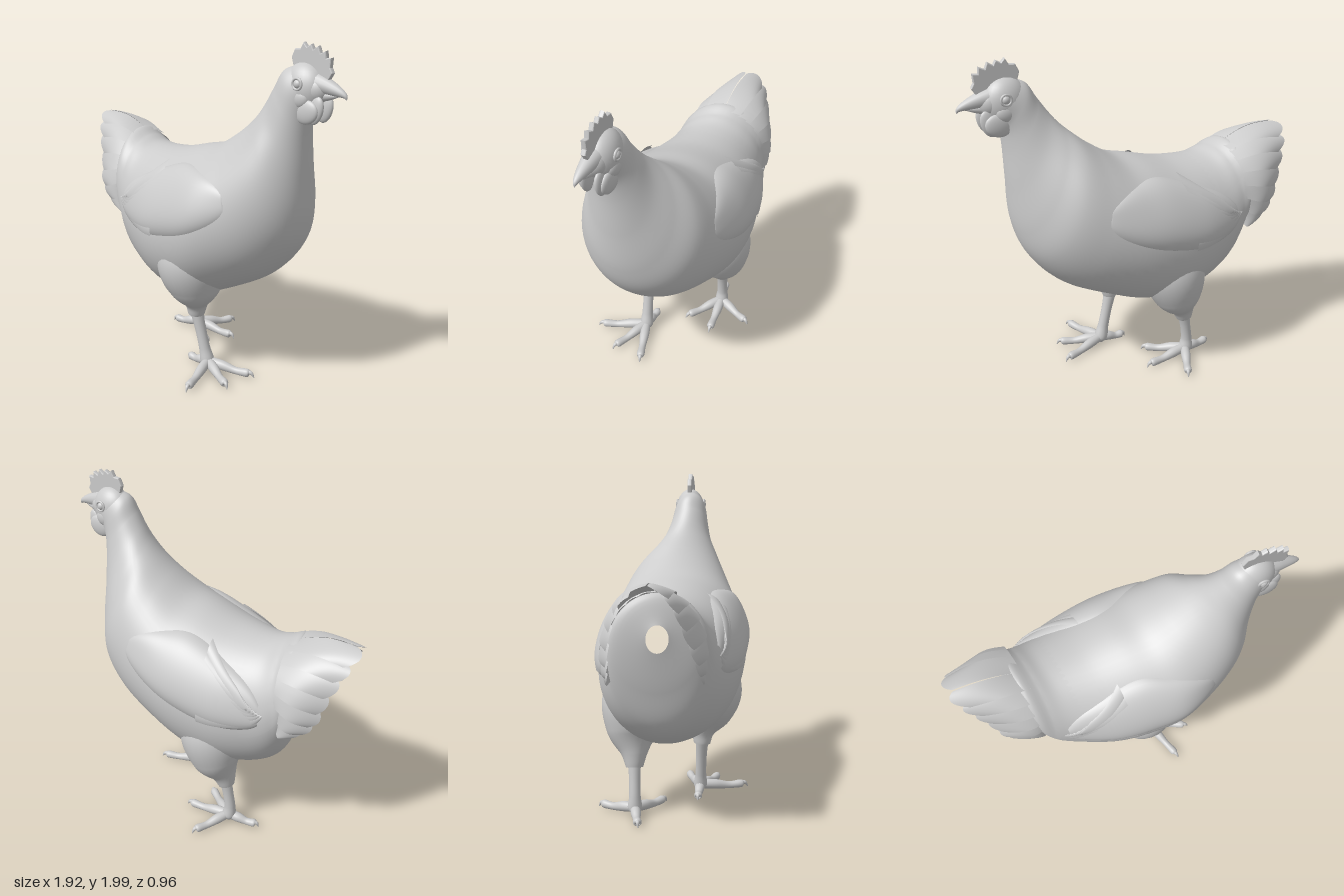
import * as THREE from 'three';
import { ParametricGeometry } from 'three/addons/geometries/ParametricGeometry.js';

const V = (x, y, z) => new THREE.Vector3(x, y, z);
const smooth = new THREE.MeshStandardMaterial({ color: 0xcccccc });
const thin = new THREE.MeshStandardMaterial({ color: 0xcccccc, side: THREE.DoubleSide });
const curve = (pts) => new THREE.CatmullRomCurve3(pts, false, 'catmullrom', 0.5);
const lerp = THREE.MathUtils.lerp;

function add(parent, name, geometry, material = smooth) {
  const mesh = new THREE.Mesh(geometry, material);
  mesh.name = name;
  parent.add(mesh);
  return mesh;
}

const surface = (f, nu, nv) => new ParametricGeometry((u, v, t) => t.copy(f(u, v)), nu, nv);

// Tapered round limb along a smooth path
function limb(points, radii, ref = V(0, 1, 0), sides = 16) {
  const path = curve(points.map((p) => V(...p)));
  const size = curve(radii.map((r) => V(r, 0, 0)));
  return surface((u, v) => {
    const T = path.getTangent(u);
    const S = ref.clone().cross(T).normalize();
    const N = T.clone().cross(S);
    const r = Math.max(size.getPoint(u).x, 0.001), a = v * Math.PI * 2;
    return path.getPoint(u).addScaledVector(N, r * Math.cos(a)).addScaledVector(S, r * Math.sin(a));
  }, 28, sides);
}

// Body sections from rump to head: back x, y, belly x, y, centre z, half width
const SECTIONS = [
  [-0.65, 1.20, -0.64, 1.05, -0.15, 0.06],
  [-0.60, 1.355, -0.605, 0.83, -0.15, 0.24],
  [-0.50, 1.325, -0.55, 0.63, -0.125, 0.29],
  [-0.40, 1.30, -0.42, 0.51, -0.10, 0.335],
  [-0.20, 1.31, -0.20, 0.44, -0.055, 0.405],
  [0.00, 1.36, 0.03, 0.45, -0.015, 0.435],
  [0.15, 1.40, 0.25, 0.54, 0.02, 0.435],
  [0.28, 1.48, 0.50, 0.68, 0.04, 0.385],
  [0.38, 1.56, 0.66, 0.86, 0.06, 0.325],
  [0.45, 1.63, 0.725, 1.05, 0.095, 0.245],
  [0.50, 1.70, 0.74, 1.30, 0.12, 0.168],
  [0.55, 1.78, 0.745, 1.52, 0.14, 0.125],
  [0.60, 1.86, 0.76, 1.63, 0.15, 0.105],
  [0.68, 1.89, 0.80, 1.69, 0.155, 0.085],
];
const LAST = SECTIONS.length - 1;
const backLine = curve(SECTIONS.map((s) => V(s[0], s[1], 0)));
const bellyLine = curve(SECTIONS.map((s) => V(s[2], s[3], 0)));
const widthLine = curve(SECTIONS.map((s) => V(s[4], s[5], 0)));

// Point on the body at a section index and an angle from the back, lifted by off
function onBody(index, angle, off = 0) {
  const u = THREE.MathUtils.clamp(index / LAST, 0, 1);
  const b = backLine.getPoint(u), e = bellyLine.getPoint(u), w = widthLine.getPoint(u);
  const mid = b.clone().add(e).multiplyScalar(0.5);
  const out = b.clone().sub(mid).multiplyScalar(Math.cos(angle));
  out.z = -w.y * Math.sin(angle);
  mid.z = w.x;
  return mid.add(out).addScaledVector(out.clone().normalize(), off);
}

const rad = THREE.MathUtils.degToRad;

// Wing: a raised pad lying on the body plus flight feathers at its rear
function makeWing(side, name) {
  const wing = new THREE.Group();
  wing.name = name;
  add(wing, 'wingCoverts', surface((s, t) => {
    const w = t * 2 - 1;
    const half = 30 * Math.pow(Math.sin(Math.PI * lerp(0.06, 0.98, s)), 0.6);
    const a = 80 - 20 * Math.sin(Math.PI * s) + half * w;
    const lift = 0.04 * (1 - w ** 4) * Math.pow(Math.sin(Math.PI * lerp(0.12, 1, s)), 0.6) - 0.006;
    return onBody(lerp(2.6, 7.2, s), side * rad(a), lift);
  }, 40, 24), thin);
  for (let i = 0; i < 6; i++) {
    add(wing, 'flightFeather', surface((s, t) => {
      const w = t * 2 - 1;
      const a = lerp(82 - i * 2, 84 - i * 10, s) + 6 * w * Math.sqrt(Math.min(1, s * 4 + 0.05));
      return onBody(lerp(2.3 + i * 0.13 + 0.1 * w * w, 4.4, s), side * rad(a), 0.012 + i * 0.003 + 0.008 * (1 - w * w));
    }, 16, 8), thin);
  }
  return wing;
}

// Tail: shingled feathers forming a tent, longest at the ridge
const TIPS = [[-0.97, 1.45], [-0.93, 1.37], [-0.88, 1.27], [-0.83, 1.15], [-0.79, 1.03], [-0.72, 0.94], [-0.60, 0.87]];
const TIP_Z = {
  1: [-0.22, -0.13, -0.07, -0.02, 0.03, 0.06, 0.10],
  [-1]: [-0.23, -0.33, -0.375, -0.40, -0.41, -0.415, -0.41],
};
function makeTail() {
  const tail = new THREE.Group();
  tail.name = 'tail';
  const count = 7;
  for (const side of [1, -1]) {
    const tips = curve(TIPS.map((p, i) => V(p[0], p[1], TIP_Z[side][i])));
    for (let k = 0; k < count; k++) {
      add(tail, 'tailFeather', surface((s, t) => {
        const a = Math.min(1, (k + t * 1.4) / (count + 0.4));
        const ang = a * 2.3;
        const base = V(-0.54, 1.1 + 0.25 * Math.cos(ang), -0.15 + side * 0.255 * Math.sin(ang));
        const tip = tips.getPoint(a);
        const end = s * (1 - 0.13 * (2 * t - 1) ** 2);
        const p = base.lerp(tip, end);
        const bulge = 0.035 * Math.sin(Math.PI * s) + 0.016 * (t - 0.5);
        return p.add(V(0, Math.cos(ang) * bulge, side * Math.sin(ang) * bulge));
      }, 14, 10), thin);
    }
  }
  return tail;
}

// Leg: feathered thigh, scaly shank, three front toes and a hind toe with claws
function makeLeg(name, thigh, thighRadii, shank, toes) {
  const leg = new THREE.Group();
  leg.name = name;
  const fwd = V(0, 0, 1);
  add(leg, 'thigh', limb(thigh, thighRadii, fwd, 28));
  add(leg, 'shank', limb(shank, [0.042, 0.033, 0.034, 0.042, 0.02], fwd));
  const [ax, , az] = shank[shank.length - 1];
  toes.forEach(([x, z]) => {
    const at = (f, y) => [lerp(ax, x, f), y, lerp(az, z, f)];
    add(leg, 'toe', limb([at(-0.05, 0.06), at(0.3, 0.05), at(0.6, 0.035), at(0.86, 0.037), at(0.91, 0.035)],
      [0.026, 0.03, 0.022, 0.024, 0.004]));
    add(leg, 'claw', limb([at(0.84, 0.045), at(0.94, 0.04), at(1, 0.014)], [0.014, 0.011, 0.002], V(0, 1, 0), 10));
  });
  return leg;
}

// Head, in its own frame with the beak along +x
function makeHead() {
  const head = new THREE.Group();
  head.name = 'head';
  head.position.set(0.715, 1.775, 0.155);
  head.rotation.y = -0.2;
  const ball = (name, p, s, tilt = 0) => {
    const m = add(head, name, new THREE.SphereGeometry(1, 28, 20));
    m.position.set(...p);
    m.scale.set(...s);
    m.rotation.z = tilt;
  };
  ball('skull', [0, 0, 0], [0.125, 0.13, 0.092]);
  ball('face', [0.07, 0, 0], [0.08, 0.075, 0.065]);
  // Hooked upper beak and shorter lower beak
  add(head, 'upperBeak', limb([[0.07, 0.035, 0], [0.14, 0.022, 0], [0.21, 0.004, 0], [0.25, -0.013, 0], [0.262, -0.032, 0]],
    [0.055, 0.042, 0.026, 0.013, 0.002]));
  add(head, 'lowerBeak', limb([[0.07, -0.03, 0], [0.15, -0.024, 0], [0.22, -0.017, 0]], [0.036, 0.023, 0.004]));
  for (const side of [1, -1]) {
    ball('eye', [0.02, 0.03, side * 0.08], [0.024, 0.024, 0.022]);
    const lid = add(head, 'eyelid', new THREE.TorusGeometry(0.028, 0.007, 8, 24));
    lid.position.set(0.02, 0.03, side * 0.089);
    ball('cheek', [0.01, -0.045, side * 0.06], [0.065, 0.055, 0.034]);
    ball('earLobe', [-0.08, -0.105, side * 0.088], [0.034, 0.067, 0.022], -0.15);
    ball('wattle', [0.06, -0.11, side * 0.06], [0.075, 0.062, 0.024], 0.25);
    ball('wattleTip', [0.105, -0.1, side * 0.04], [0.045, 0.075, 0.022], -0.3);
  }
  // Serrated comb
  const outline = [[-0.06, 0.09], [-0.078, 0.15], [-0.06, 0.188], [-0.025, 0.19], [-0.008, 0.222], [0.012, 0.2],
    [0.038, 0.216], [0.052, 0.19], [0.082, 0.21], [0.096, 0.175], [0.128, 0.19], [0.132, 0.155],
    [0.162, 0.16], [0.158, 0.115], [0.172, 0.09], [0.15, 0.055], [0.09, 0.07], [0.0, 0.11]];
  const comb = new THREE.Shape(outline.map((p) => new THREE.Vector2(...p)));
  const geo = new THREE.ExtrudeGeometry(comb, { depth: 0.012, bevelThickness: 0.008, bevelSize: 0.005, bevelSegments: 3 });
  add(head, 'comb', geo.translate(0, 0, -0.006));
  return head;
}

export function createModel() {
  const hen = new THREE.Group();
  hen.name = 'hen';
  add(hen, 'bodyAndNeck', surface((u, v) => onBody(u * LAST, v * Math.PI * 2), 90, 56));

  // Saddle feathers with a ragged rear edge over the tail base
  add(hen, 'saddle', surface((s, t) => {
    const a = lerp(-1.75, 1.75, t);
    const rag = 0.07 * Math.abs(Math.sin(t * 36));
    return onBody(lerp(0.95 + rag, 3.6, s), a, 0.014 * (1 - s) - 0.002);
  }, 16, 90), thin);

  hen.add(makeWing(-1, 'leftWing'), makeWing(1, 'rightWing'), makeTail(), makeHead());

  hen.add(makeLeg('leftLeg',
    [[0.03, 0.88, 0.18], [0.04, 0.7, 0.2], [0.055, 0.54, 0.19], [0.05, 0.43, 0.17], [0.045, 0.355, 0.165]],
    [0.16, 0.205, 0.16, 0.075, 0.05],
    [[0.04, 0.4, 0.165], [0.075, 0.26, 0.165], [0.105, 0.14, 0.165], [0.125, 0.06, 0.165], [0.13, 0.025, 0.165]],
    [[0.43, 0.12], [0.37, 0.32], [0.19, 0.48], [-0.04, 0.13]]));
  hen.add(makeLeg('rightLeg',
    [[-0.1, 0.85, -0.22], [-0.12, 0.66, -0.25], [-0.15, 0.5, -0.265], [-0.195, 0.38, -0.26], [-0.215, 0.3, -0.26]],
    [0.16, 0.195, 0.155, 0.08, 0.05],
    [[-0.2, 0.36, -0.26], [-0.225, 0.24, -0.26], [-0.24, 0.13, -0.26], [-0.235, 0.06, -0.26], [-0.23, 0.025, -0.26]],
    [[0.06, -0.24], [-0.03, -0.06], [-0.08, -0.47], [-0.43, -0.25]]));
  return hen;
}
